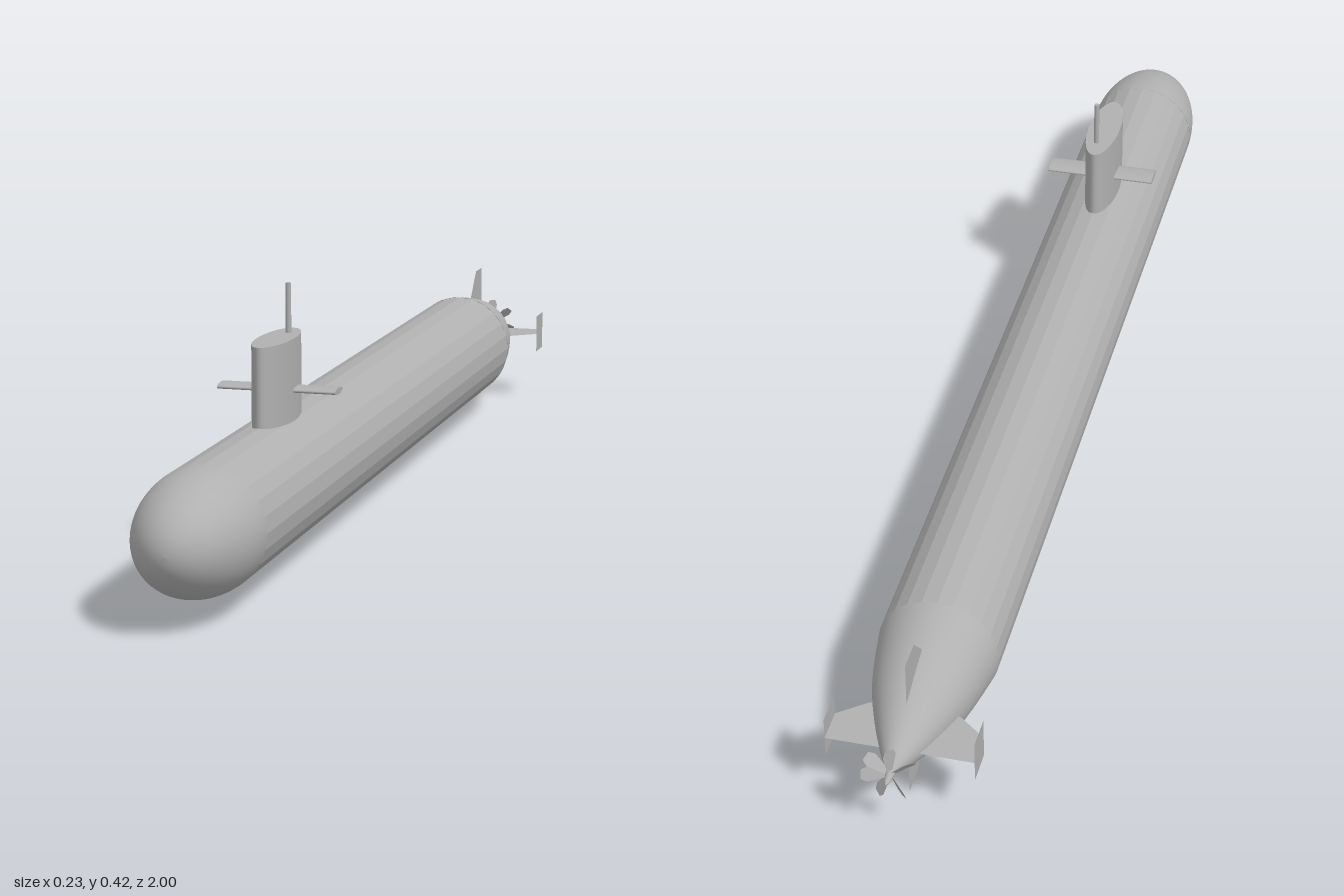
import * as THREE from 'three';

const AXIS_Y = 0.126, R = 0.095;

export function createModel() {
  const model = new THREE.Group();
  model.name = 'submarine';
  const grey = new THREE.MeshStandardMaterial({ color: 0xb0b0b0, side: THREE.DoubleSide });
  grey.name = 'hull grey';

  const add = (name, geometry, parent = model) => {
    const mesh = new THREE.Mesh(geometry, grey);
    mesh.name = name;
    parent.add(mesh);
    return mesh;
  };
  const shapeOf = (pts) => new THREE.Shape(pts.map(([x, y]) => new THREE.Vector2(x, y)));
  // Surface of revolution along z from [radius, z] points, stern to bow
  const turned = (pts, sides) =>
    new THREE.LatheGeometry(pts.map(([r, z]) => new THREE.Vector2(r, z)), sides).rotateX(Math.PI / 2);

  // Everything on the hull axis
  const body = new THREE.Group();
  body.name = 'body';
  body.position.y = AXIS_Y;
  model.add(body);

  // Faceted mid hull, smooth bow and stern
  const mid = turned([[R, -0.7], [R, 0.83]], 24).toNonIndexed();
  mid.computeVertexNormals();
  add('midHull', mid, body);

  const bow = [];
  for (let i = 0; i <= 16; i++) {
    const a = (i / 16) * Math.PI / 2;
    bow.push([R * Math.cos(a), 0.83 + 0.17 * Math.sin(a)]);
  }
  add('bow', turned(bow, 48), body);

  const sternCurve = new THREE.SplineCurve([
    [0.004, -0.972], [0.022, -0.943], [0.05, -0.88], [0.077, -0.8], [R, -0.7],
  ].map(([r, z]) => new THREE.Vector2(r, z)));
  add('stern', turned(sternCurve.getPoints(16).map((p) => [p.x, p.y]), 48), body);

  // Upper and lower rudders, thin sheets in the yz plane
  for (const s of [1, -1]) {
    const rudder = new THREE.ShapeGeometry(shapeOf([
      [0.88, 0.02], [0.88, 0.126], [0.832, 0.126], [0.793, 0.083], [0.793, 0.02],
    ])).rotateY(Math.PI / 2);
    add(s > 0 ? 'upperRudder' : 'lowerRudder', rudder, body).scale.y = s;
  }

  // Stern planes with upright end plates
  for (const s of [1, -1]) {
    const side = s > 0 ? 'left' : 'right';
    const plane = new THREE.ShapeGeometry(shapeOf([
      [0.01, 0.925], [0.114, 0.925], [0.114, 0.871], [0.07, 0.836], [0.01, 0.836],
    ])).rotateX(-Math.PI / 2);
    add(side + 'SternPlane', plane, body).scale.x = s;
    const plate = new THREE.PlaneGeometry(0.054, 0.07).rotateY(Math.PI / 2);
    add(side + 'EndPlate', plate, body).position.set(s * 0.114, 0, -0.898);
  }

  // Propeller: pointed hub and seven pitched blades
  const propeller = new THREE.Group();
  propeller.name = 'propeller';
  propeller.position.z = -0.975;
  body.add(propeller);
  add('hub', turned([[0, -0.025], [0.004, -0.018], [0.007, 0], [0.007, 0.015]], 16), propeller);
  for (let i = 0; i < 7; i++) {
    const blade = new THREE.ShapeGeometry(shapeOf([
      [-0.004, 0.004], [0.004, 0.004], [0.011, 0.036], [0.007, 0.046], [-0.007, 0.046], [-0.011, 0.036],
    ])).rotateY(0.8).rotateZ((i / 7) * Math.PI * 2);
    add('blade', blade, propeller);
  }

  // Sail with an elliptical plan
  const sail = new THREE.CylinderGeometry(1, 1, 0.145, 40).scale(0.028, 1, 0.092);
  add('sail', sail).position.set(0, 0.2725, 0.479);

  // Diving planes through the sail, flattened foil section
  for (const s of [1, -1]) {
    const foil = new THREE.CylinderGeometry(1, 1, 0.08, 20).rotateZ(Math.PI / 2).scale(1, 0.005, 0.022);
    add(s > 0 ? 'leftSailPlane' : 'rightSailPlane', foil).position.set(s * 0.055, 0.264, 0.464);
  }

  // Periscope, set slightly to one side
  add('periscope', new THREE.CylinderGeometry(0.0045, 0.0045, 0.1, 14)).position.set(0.004, 0.373, 0.43);

  return model;
}
